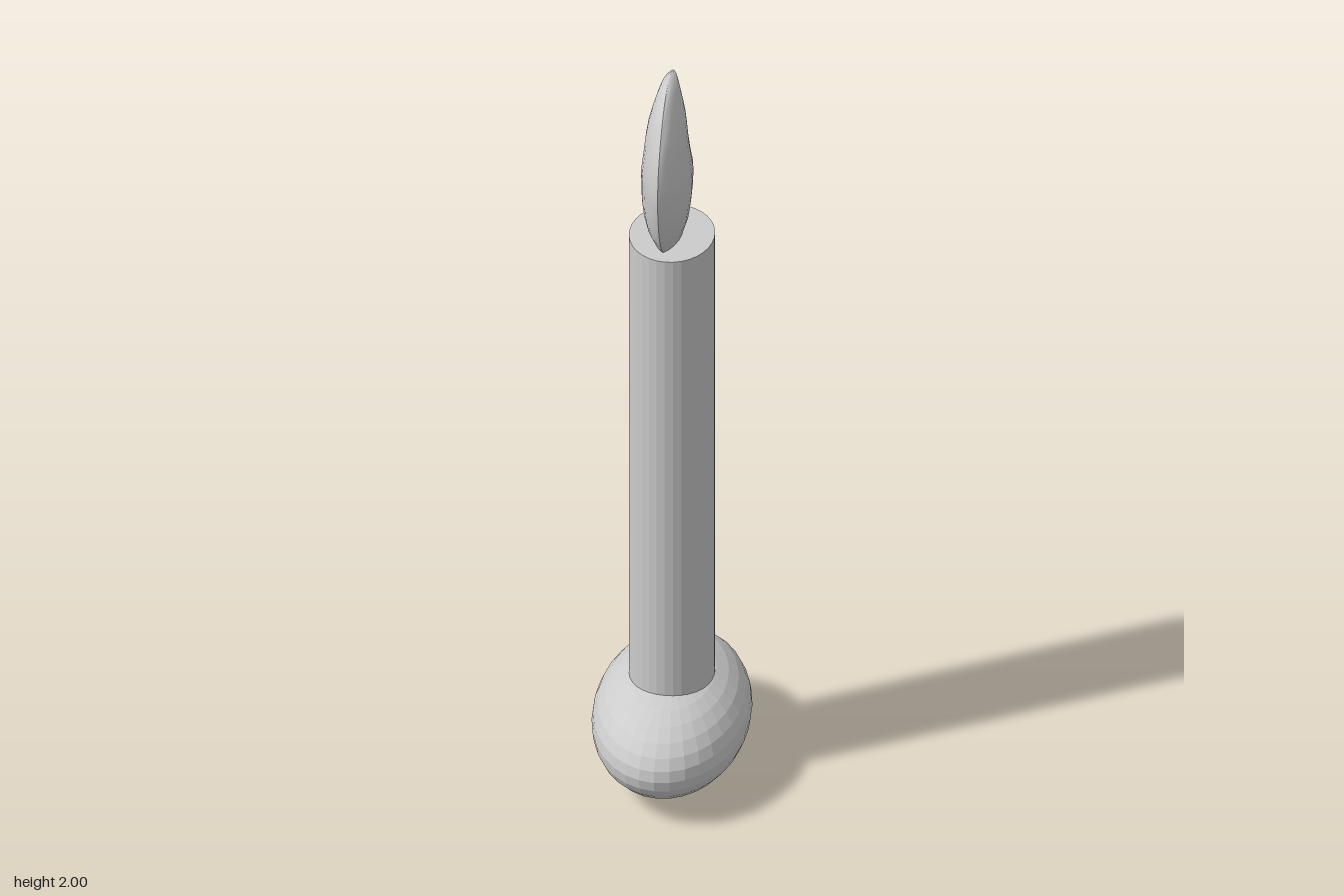
import * as THREE from 'three';
import { toCreasedNormals } from 'three/addons/utils/BufferGeometryUtils.js';

const flat = () => new THREE.MeshStandardMaterial({ color: 0xcccccc, flatShading: true });

function part(name, geometry, material) {
  const mesh = new THREE.Mesh(geometry, material);
  mesh.name = name;
  return mesh;
}

// Flame: stacked lens-shaped sections, [y, back z, front z, half width]
function flameGeometry() {
  const rings = [
    [1.55, -0.112, 0.07, 0.033], [1.566, -0.116, 0.087, 0.037], [1.61, -0.123, 0.122, 0.049],
    [1.65, -0.129, 0.142, 0.055], [1.69, -0.136, 0.155, 0.059], [1.72, -0.144, 0.161, 0.06],
    [1.745, -0.147, 0.166, 0.06], [1.77, -0.128, 0.168, 0.059], [1.795, -0.115, 0.165, 0.057],
    [1.83, -0.105, 0.158, 0.053], [1.87, -0.098, 0.144, 0.049], [1.905, -0.093, 0.123, 0.044],
    [1.937, -0.089, 0.1, 0.036], [1.962, -0.087, 0.075, 0.028], [1.982, -0.086, 0.048, 0.02],
    [1.994, -0.06, 0.02, 0.011], [2.0, -0.02, -0.01, 0.001],
  ];
  const n = 28, centreX = -0.01, pos = [], index = [];
  for (const [y, back, front, half] of rings) {
    for (let i = 0; i < n; i++) {
      const a = (i / n) * Math.PI * 2, s = Math.sin(a);
      pos.push(
        centreX + half * Math.sign(s) * Math.pow(Math.abs(s), 1.5),
        y,
        (front + back) / 2 + ((front - back) / 2) * Math.cos(a));
    }
  }
  for (let r = 0; r < rings.length - 1; r++) {
    for (let i = 0; i < n; i++) {
      const a = r * n + i, b = r * n + ((i + 1) % n);
      index.push(a, b, b + n, a, b + n, a + n);
    }
  }
  // End caps
  const top = (rings.length - 1) * n;
  for (let i = 1; i < n - 1; i++) {
    index.push(0, i + 1, i, top, top + i, top + i + 1);
  }
  const g = new THREE.BufferGeometry();
  g.setAttribute('position', new THREE.Float32BufferAttribute(pos, 3));
  g.setIndex(index);
  return toCreasedNormals(g, 0.6);
}

export function createModel() {
  const model = new THREE.Group();
  model.name = 'candle';

  // Flattened oval foot
  const foot = new THREE.SphereGeometry(1, 32, 16);
  foot.scale(0.19, 0.146, 0.295).translate(0, 0.146, 0);
  model.add(part('base', foot, flat()));

  // Slightly oval candle shaft
  const shaft = new THREE.CylinderGeometry(1, 1, 1.41, 32);
  shaft.scale(0.103, 1, 0.119).translate(0, 0.855, 0);
  model.add(part('candleShaft', shaft, flat()));

  model.add(part('flame', flameGeometry(), new THREE.MeshStandardMaterial({ color: 0xcccccc })));
  return model;
}
